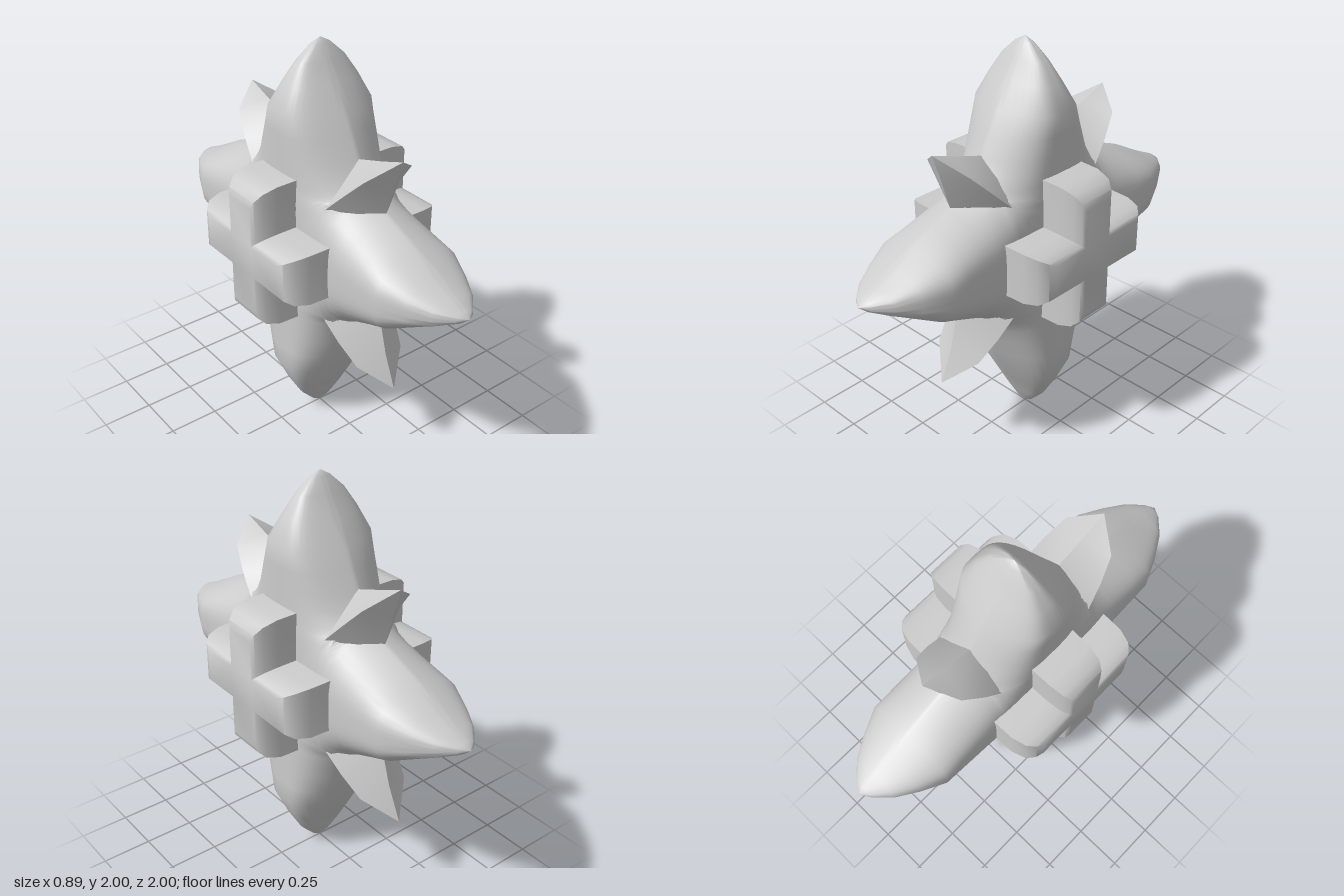
import * as THREE from 'three';
import { mergeGeometries, mergeVertices, toCreasedNormals } from 'three/addons/utils/BufferGeometryUtils.js';

const CY = 1.05; // height of the star's centre
const grey = new THREE.MeshStandardMaterial({ color: 0xcccccc });

// Grid surface through point(i, j), i < rows, j < cols; flip reverses the faces
function gridGeometry(rows, cols, point, flip = false) {
  const pos = [];
  const tri = (a, b, c) => {
    const area = new THREE.Triangle(a, b, c).getArea();
    if (area > 1e-7) for (const p of flip ? [a, c, b] : [a, b, c]) pos.push(p.x, p.y, p.z);
  };
  for (let i = 0; i < rows - 1; i++) {
    for (let j = 0; j < cols - 1; j++) {
      const a = point(i, j), b = point(i + 1, j), c = point(i + 1, j + 1), d = point(i, j + 1);
      tri(a, b, c);
      tri(a, c, d);
    }
  }
  const g = new THREE.BufferGeometry();
  g.setAttribute('position', new THREE.Float32BufferAttribute(pos, 3));
  return g;
}

// Large spike sections: distance from centre, half width, half thickness
const SPIKE = [
  [0, 0.9, 0.235], [0.08, 0.8, 0.235], [0.16, 0.68, 0.235], [0.22, 0.57, 0.235],
  [0.27, 0.48, 0.235], [0.31, 0.41, 0.235], [0.35, 0.35, 0.235], [0.41, 0.31, 0.235],
  [0.48, 0.28, 0.235], [0.58, 0.235, 0.235], [0.68, 0.19, 0.235], [0.8, 0.118, 0.18],
  [0.9, 0.062, 0.12], [0.97, 0.026, 0.05], [1, 0, 0],
];
const VALLEY = 0.35;

// One quarter of the star: a flat-faced wedge from the centre that runs out into a spike
function quarter(length, bend, turn) {
  const cols = 25;
  const halves = [1, -1].map((side) => gridGeometry(SPIKE.length, cols, (i, j) => {
    const [d, w, t] = SPIKE[i];
    const out = Math.max(0, d - VALLEY) / (1 - VALLEY);
    const v = Math.min(w, d) * Math.sin((j / (cols - 1) - 0.5) * Math.PI);
    const q = w ? Math.min(1, Math.abs(v) / w) : 0;
    const x = side * t * Math.pow(1 - Math.pow(q, 3.5), 0.85);
    return new THREE.Vector3(x, Math.min(d, VALLEY) + out * (length - VALLEY), v + bend * out);
  }, side < 0));
  return mergeGeometries(halves).rotateX(turn * Math.PI / 2);
}

// Four-sided small spike along +y: distance, half width, half thickness
const THORN = [[0.25, 0.22, 0.2], [0.4, 0.19, 0.19], [0.53, 0.135, 0.17], [0.67, 0.062, 0.135], [1, 0, 0]];
function thornGeometry(length) {
  const g = gridGeometry(THORN.length, 5, (i, j) => {
    const [d, w, t] = THORN[i];
    const a = j * Math.PI / 2;
    return new THREE.Vector3(t * Math.cos(a), Math.min(d, length), w * Math.sin(a));
  });
  return toCreasedNormals(g, 0.45);
}

// Plus-shaped outline from arm length and arm half width
const crossOutline = (l, w, z) => [
  [w, w], [w, l], [-w, l], [-w, w], [-l, w], [-l, -w], [-w, -w], [-w, -l], [w, -l], [w, -w], [l, -w], [l, w], [w, w],
].map(([x, y]) => new THREE.Vector3(x, y, z));

// Cross rising along +z, its edges rounded off: height, arm length, arm half width
const CROSS = [[0.12, 0.365, 0.13], [0.33, 0.36, 0.126], [0.4, 0.34, 0.115], [0.435, 0.305, 0.095], [0.447, 0.27, 0.08]];
function crossGeometry() {
  const rings = CROSS.map(([z, l, w]) => crossOutline(l, w, z));
  const sides = gridGeometry(rings.length, rings[0].length, (i, j) => rings[i][j], true);
  const face = new THREE.ShapeGeometry(new THREE.Shape(rings.at(-1).slice(0, -1))).toNonIndexed();
  face.deleteAttribute('uv');
  face.deleteAttribute('normal');
  face.translate(0, 0, CROSS.at(-1)[0]);
  return toCreasedNormals(mergeGeometries([sides, face]), 0.75);
}

export function createModel() {
  const group = new THREE.Group();
  const add = (name, geometry) => {
    const mesh = new THREE.Mesh(geometry, grey);
    mesh.name = name;
    group.add(mesh);
    return mesh;
  };

  // Star body: top, front, bottom and back spikes
  const star = mergeVertices(mergeGeometries([
    quarter(0.95, 0, 0), quarter(1, -0.03, 1), quarter(1.05, 0, 2), quarter(1, 0.03, 3),
  ]), 1e-4);
  add('starBody', toCreasedNormals(star, 0.9)).position.y = CY;

  // Small spikes on the diagonals, given by their tips (z, y)
  for (const [z, y] of [[0.56, 1.62], [-0.54, 1.63], [0.57, 0.44], [-0.6, 0.46]]) {
    const thorn = add('smallSpike', thornGeometry(Math.hypot(z, y - CY)));
    thorn.position.y = CY;
    thorn.rotation.x = Math.atan2(z, y - CY);
  }

  // Raised cross on each side
  const cross = crossGeometry();
  for (const side of [1, -1]) {
    const mesh = add(side > 0 ? 'leftCross' : 'rightCross', cross);
    mesh.position.y = 1.067;
    mesh.rotation.y = side * Math.PI / 2;
  }
  return group;
}
